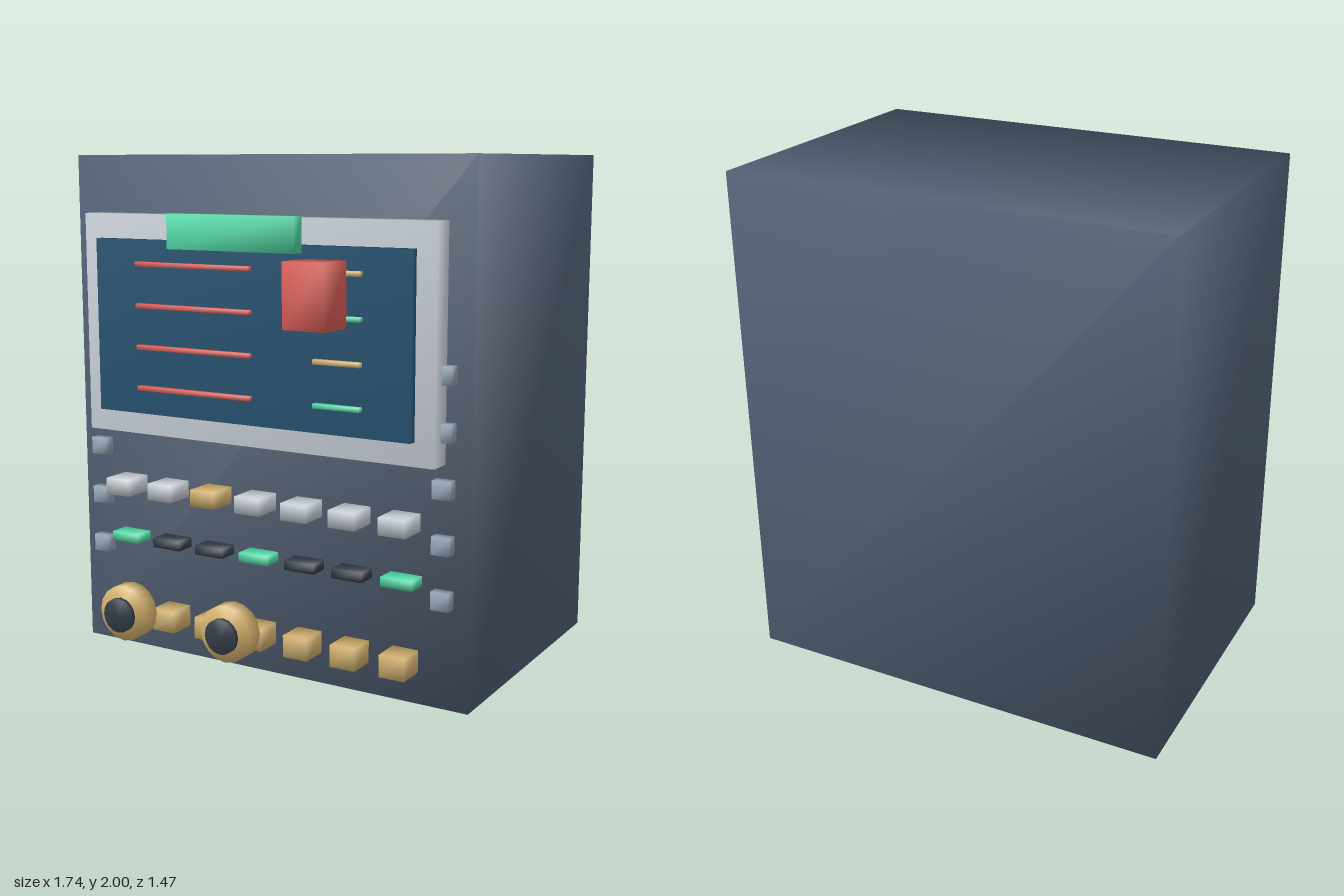
import * as THREE from 'three';
import { mergeVertices } from 'three/addons/utils/BufferGeometryUtils.js';

const paint = (name, color) => {
  const m = new THREE.MeshStandardMaterial({ color });
  m.name = name;
  return m;
};

// Share the corner vertices so the shading rolls smoothly over every edge
function soften(geometry) {
  geometry.deleteAttribute('normal');
  geometry.deleteAttribute('uv');
  const soft = mergeVertices(geometry, 1e-5);
  soft.computeVertexNormals();
  return soft;
}

export function createModel() {
  const model = new THREE.Group();
  model.name = 'controlConsole';

  const slate = paint('slate blue', 0x526075);
  const silver = paint('pale silver', 0xc6ced5);
  const navy = paint('screen blue', 0x24506e);
  const green = paint('mint green', 0x50d8a4);
  const red = paint('coral red', 0xdc5f58);
  const gold = paint('brass', 0xd2b06c);
  const dark = paint('charcoal', 0x333c47);
  const steel = paint('steel', 0x94a3b5);

  // Box centred on x, y and spanning z0 to z1
  function box(name, material, x, y, w, h, z0, z1) {
    const mesh = new THREE.Mesh(soften(new THREE.BoxGeometry(w, h, z1 - z0)), material);
    mesh.position.set(x, y, (z0 + z1) / 2);
    mesh.name = name;
    model.add(mesh);
  }

  // Disc facing forward, spanning z0 to z1
  function disc(name, material, x, y, r, z0, z1) {
    const geometry = new THREE.CylinderGeometry(r, r, z1 - z0, 16).rotateX(Math.PI / 2);
    const mesh = new THREE.Mesh(soften(geometry), material);
    mesh.position.set(x, y, (z0 + z1) / 2);
    mesh.name = name;
    model.add(mesh);
  }

  const face = 0.425; // front of the cabinet

  // Cabinet, bezel and screen
  box('cabinet', slate, 0, 1, 1.74, 2, -0.735, face);
  box('screenBezel', silver, 0, 1.345, 1.53, 0.86, face, 0.517);
  box('screen', navy, 0, 1.342, 1.374, 0.676, 0.517, 0.549);

  // Readout lines on the screen
  for (let i = 0; i < 4; i++) {
    const y = 1.588 - i * 0.16;
    box('longReadout', red, -0.225, y, 0.515, 0.018, 0.551, 0.574);
    box('shortReadout', i % 2 ? green : gold, 0.4, y, 0.19, 0.018, 0.551, 0.574);
  }

  // Raised sign and block in front of the screen
  box('statusSign', green, 0, 1.72, 0.548, 0.13, 0.595, 0.648);
  box('alertBlock', red, 0.357, 1.515, 0.172, 0.238, 0.572, 0.723);

  // Bolts down both sides
  for (const side of [-1, 1]) {
    for (let i = 0; i < 5; i++) {
      box('sideBolt', steel, side * 0.769, 1.24 - i * 0.205, 0.072, 0.068, face, 0.469);
    }
  }

  // Three rows of seven controls
  for (let i = 0; i < 7; i++) {
    const x = (i - 3) * 0.205;
    box('button', i === 2 ? gold : silver, x, 0.691, 0.11, 0.066, face, 0.549);
    box('indicator', i % 3 === 0 ? green : dark, x, 0.473, 0.128, 0.037, face, 0.508);
    box('keyBlock', gold, x, 0.164, 0.104, 0.086, face, 0.538);
  }

  // Round knobs with dark caps
  for (const x of [-0.48, 0]) {
    disc('knob', gold, x, 0.232, 0.11, 0.63, 0.701);
    disc('knobCap', dark, x, 0.232, 0.068, 0.714, 0.735);
  }

  return model;
}
